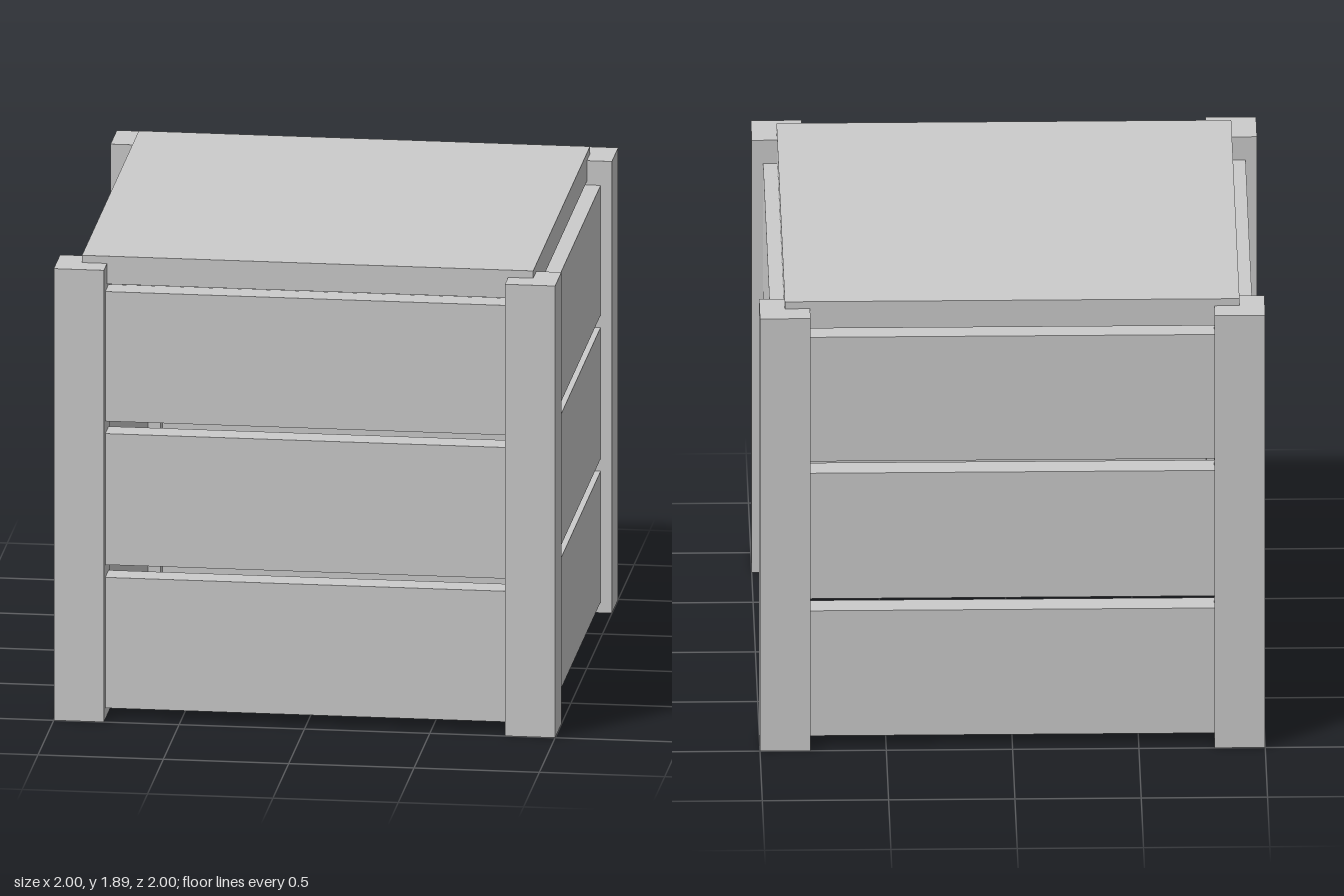
import * as THREE from 'three';

export function createModel() {
  const crate = new THREE.Group();
  crate.name = 'crate';
  const grey = new THREE.MeshStandardMaterial({ color: 0xcccccc });
  grey.name = 'plain grey';

  function box(name, size, position, parent) {
    const mesh = new THREE.Mesh(new THREE.BoxGeometry(...size), grey);
    mesh.name = name;
    mesh.position.set(...position);
    parent.add(mesh);
  }

  // Square corner posts
  for (const x of [-0.9, 0.9]) {
    for (const z of [-0.9, 0.9]) box('cornerPost', [0.2, 1.86, 0.2], [x, 0.93, z], crate);
  }

  // Three spaced planks on each of the four open-bottomed sides
  const plankSpans = [[0.045, 0.583], [0.635, 1.175], [1.226, 1.76]];
  ['frontWall', 'leftWall', 'backWall', 'rightWall'].forEach((name, i) => {
    const wall = new THREE.Group();
    wall.name = name;
    wall.rotation.y = i * Math.PI / 2;
    for (const [low, high] of plankSpans) {
      box('plank', [1.6, high - low, 0.105], [0, (low + high) / 2, 0.9025], wall);
    }
    crate.add(wall);
  });

  // Lid resting between the posts, slightly above their tops
  box('lid', [1.8, 0.115, 1.8], [0, 1.8325, 0], crate);

  return crate;
}
